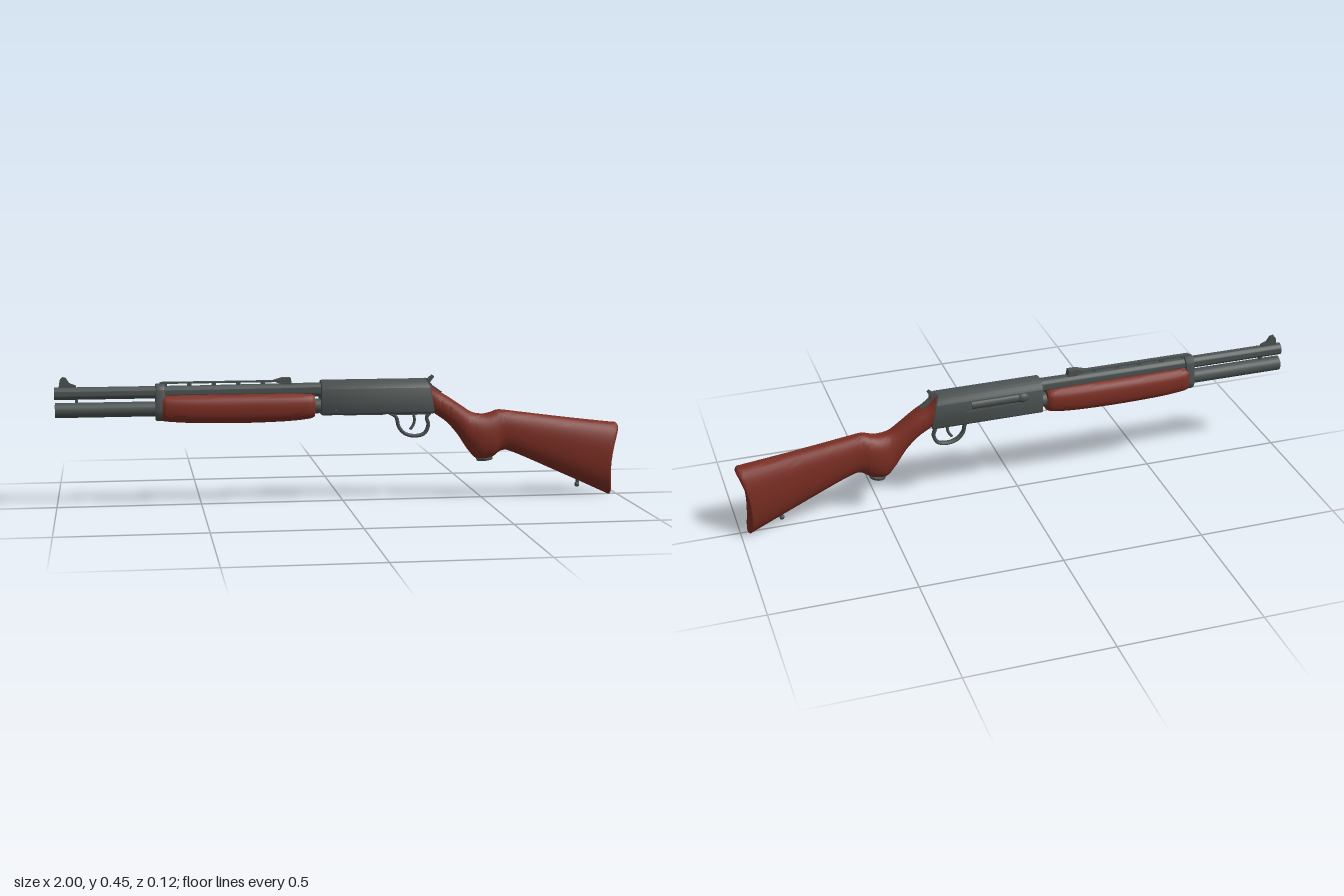
import * as THREE from 'three';
import { toCreasedNormals } from 'three/addons/utils/BufferGeometryUtils.js';

const metal = new THREE.MeshStandardMaterial({ color: 0x4b5251 });
metal.name = 'gunmetal grey';
const wood = new THREE.MeshStandardMaterial({ color: 0x7b2e23 });
wood.name = 'red brown wood';

// Lofted body: each station is [topX, topY, bottomX, bottomY, halfWidth, squareness, concavity]
function loft(stations, steps, sides = 32) {
  const tops = new THREE.CatmullRomCurve3(stations.map(s => new THREE.Vector3(s[0], s[1], s[4])), false, 'catmullrom', 0.5);
  const bots = new THREE.CatmullRomCurve3(stations.map(s => new THREE.Vector3(s[2], s[3], s[5])), false, 'catmullrom', 0.5);
  const pos = [], idx = [];
  const pow = (v, e) => Math.sign(v) * Math.abs(v) ** e;
  for (let i = 0; i <= steps; i++) {
    const t = tops.getPoint(i / steps), b = bots.getPoint(i / steps);
    const f = i / steps * (stations.length - 1), k = Math.min(Math.floor(f), stations.length - 2);
    const bow = THREE.MathUtils.lerp(stations[k][6] || 0, stations[k + 1][6] || 0, f - k);
    for (let j = 0; j < sides; j++) {
      const a = j / sides * Math.PI * 2;
      const u = 0.5 + 0.5 * pow(Math.cos(a), b.z);
      const dip = bow * 4 * u * (1 - u);
      pos.push(b.x + (t.x - b.x) * u - dip, b.y + (t.y - b.y) * u, t.z * pow(Math.sin(a), b.z));
    }
  }
  for (let i = 0; i < steps; i++) for (let j = 0; j < sides; j++) {
    const p = i * sides + j, q = i * sides + (j + 1) % sides;
    idx.push(p, q, p + sides, q, q + sides, p + sides);
  }
  // Caps are bridged left to right so that a concave end stays concave
  for (const [base, flip] of [[0, true], [steps * sides, false]]) {
    for (let j = 0; j < sides / 2; j++) {
      const a = base + j, b = base + j + 1;
      const c = base + (sides - j) % sides, d = base + sides - j - 1;
      if (flip) idx.push(a, c, b, b, c, d);
      else idx.push(a, b, c, b, d, c);
    }
  }
  const g = new THREE.BufferGeometry();
  g.setAttribute('position', new THREE.Float32BufferAttribute(pos, 3));
  g.setIndex(idx);
  return toCreasedNormals(g, 0.7);
}

// Flat side profile with thickness centred on z = 0
function plate(points, width) {
  const g = new THREE.ExtrudeGeometry(new THREE.Shape(points.map(p => new THREE.Vector2(...p))),
    { depth: width, bevelEnabled: false });
  return g.translate(0, 0, -width / 2);
}

// Cross-section (z, y) swept along x
function sweepX(shape, x0, x1, bevel = 0) {
  const g = new THREE.ExtrudeGeometry(shape, {
    depth: x1 - x0 - 2 * bevel, bevelEnabled: bevel > 0, bevelSize: bevel,
    bevelThickness: bevel, bevelOffset: -bevel, bevelSegments: 2, curveSegments: 16
  });
  g.rotateY(Math.PI / 2).translate(x0 + bevel, 0, 0);
  return toCreasedNormals(g, 0.6);
}

function rodX(x0, x1, y, z, r, sides = 28) {
  return new THREE.CylinderGeometry(r, r, x1 - x0, sides).rotateZ(Math.PI / 2).translate((x0 + x1) / 2, y, z);
}

function box(x0, x1, y0, y1, width, z = 0) {
  return new THREE.BoxGeometry(x1 - x0, y1 - y0, width).translate((x0 + x1) / 2, (y0 + y1) / 2, z);
}

function tube(points, r, steps = 40) {
  const curve = new THREE.CatmullRomCurve3(points.map(p => new THREE.Vector3(p[0], p[1], 0)));
  return new THREE.TubeGeometry(curve, steps, r, 10);
}

export function createModel() {
  const model = new THREE.Group();
  const add = (name, geometry, material = metal) => {
    const m = new THREE.Mesh(geometry, material);
    m.name = name;
    model.add(m);
    return m;
  };

  // Barrel with an open bore, and the closed tube below it
  const bore = [[0, 0.08], [0.015, 0.08], [0.015, 0], [0.0215, 0], [0.0215, 0.5], [0.025, 0.93], [0, 0.93]]
    .map(p => new THREE.Vector2(...p));
  const barrel = toCreasedNormals(new THREE.LatheGeometry(bore, 32), 0.6);
  add('barrel', barrel.rotateZ(-Math.PI / 2).translate(-1, 0.4, 0));
  add('magazineTube', rodX(-0.998, -0.07, 0.342, 0, 0.026));
  add('tubeSpacer', box(-0.93, -0.92, 0.355, 0.39, 0.012));

  // Front sight, sighting rib and rear sight
  add('frontSight', plate([[-0.985, 0.415], [-0.98, 0.447], [-0.972, 0.457], [-0.96, 0.455], [-0.948, 0.436],
    [-0.925, 0.427], [-0.925, 0.415]], 0.011));
  add('sightingRib', box(-0.64, -0.19, 0.429, 0.435, 0.016));
  for (let i = 0; i < 6; i++) add('ribPost', box(-0.63 + i * 0.085, -0.615 + i * 0.085, 0.415, 0.431, 0.012));
  add('rearSight', plate([[-0.25, 0.434], [-0.215, 0.444], [-0.185, 0.444], [-0.18, 0.415], [-0.2, 0.415]], 0.024));

  // Collar joining the barrel and tube
  const collar = new THREE.Shape();
  collar.absarc(0, 0.4, 0.03, 0, Math.PI, false);
  collar.lineTo(-0.04, 0.345);
  collar.absarc(0, 0.34, 0.04, Math.PI, Math.PI * 2, false);
  add('collar', sweepX(collar, -0.655, -0.622, 0.004));

  // Wooden fore-end
  add('foreEnd', loft([
    [-0.632, 0.392, -0.632, 0.3, 0.04, 0.75],
    [-0.61, 0.392, -0.61, 0.297, 0.046, 0.75],
    [-0.52, 0.392, -0.52, 0.291, 0.051, 0.75],
    [-0.36, 0.392, -0.36, 0.288, 0.052, 0.75],
    [-0.21, 0.392, -0.21, 0.291, 0.051, 0.75],
    [-0.125, 0.39, -0.125, 0.298, 0.046, 0.75],
    [-0.102, 0.385, -0.102, 0.305, 0.038, 0.75]], 36), wood);

  // Receiver with an arched top
  const body = new THREE.Shape();
  body.moveTo(-0.037, 0.313);
  body.lineTo(0.037, 0.313);
  body.quadraticCurveTo(0.047, 0.315, 0.047, 0.327);
  body.lineTo(0.047, 0.406);
  body.bezierCurveTo(0.035, 0.425, 0.02, 0.434, 0, 0.434);
  body.bezierCurveTo(-0.02, 0.434, -0.035, 0.425, -0.047, 0.406);
  body.lineTo(-0.047, 0.327);
  body.quadraticCurveTo(-0.047, 0.315, -0.037, 0.313);
  const receiver = sweepX(body, -0.08, 0.32, 0.004);
  // Rear end leans forward towards the top
  const rp = receiver.attributes.position;
  for (let i = 0; i < rp.count; i++) {
    if (rp.getX(i) > 0.2) rp.setX(i, rp.getX(i) - Math.max(0, rp.getY(i) - 0.385) * 0.6);
  }
  receiver.computeVertexNormals();
  add('receiver', toCreasedNormals(receiver, 0.6));

  // Bolt, its handle and the port frame on the right side
  add('bolt', rodX(0.005, 0.18, 0.387, -0.037, 0.017));
  add('boltHandle', new THREE.SphereGeometry(0.018, 20, 14).scale(1.3, 1, 0.8).translate(-0.005, 0.387, -0.044));
  add('portSill', box(-0.03, 0.2, 0.362, 0.368, 0.006, -0.048));
  add('loadingGate', box(0.0, 0.15, 0.309, 0.314, 0.04));
  for (const s of [-1, 1]) for (const x of [-0.03, 0.2]) {
    add('receiverPin', new THREE.CylinderGeometry(0.005, 0.005, 0.003, 14).rotateX(Math.PI / 2).translate(x, 0.332, s * 0.048));
  }

  // Hammer and upper tang
  add('hammer', plate([[0.272, 0.42], [0.29, 0.425], [0.318, 0.446], [0.325, 0.44], [0.31, 0.42], [0.31, 0.395], [0.28, 0.395]], 0.014));
  add('upperTang', plate([[0.28, 0.434], [0.297, 0.434], [0.318, 0.41], [0.352, 0.386], [0.348, 0.375], [0.28, 0.39]], 0.022));

  // Trigger and guard
  const guard = add('triggerGuard', tube([[0.165, 0.314], [0.19, 0.297], [0.2, 0.262], [0.222, 0.238], [0.258, 0.229],
    [0.292, 0.238], [0.306, 0.268], [0.3, 0.295], [0.315, 0.316]], 0.0065));
  guard.scale.z = 1.7;
  add('trigger', tube([[0.25, 0.318], [0.256, 0.285], [0.25, 0.265], [0.24, 0.252]], 0.005, 16));
  add('guardPlate', box(0.17, 0.31, 0.306, 0.315, 0.03));

  // Stock, from wrist and pistol grip to concave butt
  add('stock', loft([
    [0.296, 0.426, 0.316, 0.317, 0.0455, 0.7],
    [0.325, 0.397, 0.335, 0.303, 0.045, 0.78],
    [0.37, 0.371, 0.37, 0.278, 0.044, 0.85],
    [0.42, 0.338, 0.41, 0.234, 0.042, 0.9],
    [0.46, 0.312, 0.45, 0.175, 0.044, 0.9],
    [0.5, 0.304, 0.485, 0.142, 0.049, 0.88],
    [0.53, 0.309, 0.535, 0.148, 0.047, 0.88],
    [0.56, 0.318, 0.57, 0.17, 0.041, 0.9],
    [0.62, 0.311, 0.615, 0.163, 0.042, 0.9],
    [0.8, 0.287, 0.79, 0.085, 0.049, 0.88],
    [0.965, 0.267, 0.945, 0.014, 0.057, 0.86, 0.01],
    [0.99, 0.264, 0.968, 0.003, 0.058, 0.86, 0.018],
    [0.999, 0.253, 0.975, 0.008, 0.053, 0.86, 0.022]], 72, 40), wood);

  // Grip cap and sling stud
  const cap = add('gripCap', new THREE.CylinderGeometry(0.03, 0.028, 0.008, 28));
  cap.position.set(0.511, 0.142, 0);
  cap.rotation.z = 0.12;
  cap.scale.z = 1.05;
  add('slingStud', new THREE.CylinderGeometry(0.006, 0.006, 0.03, 14).translate(0.855, 0.049, 0));
  add('slingStudBall', new THREE.SphereGeometry(0.009, 14, 10).translate(0.853, 0.04, 0));

  return model;
}
